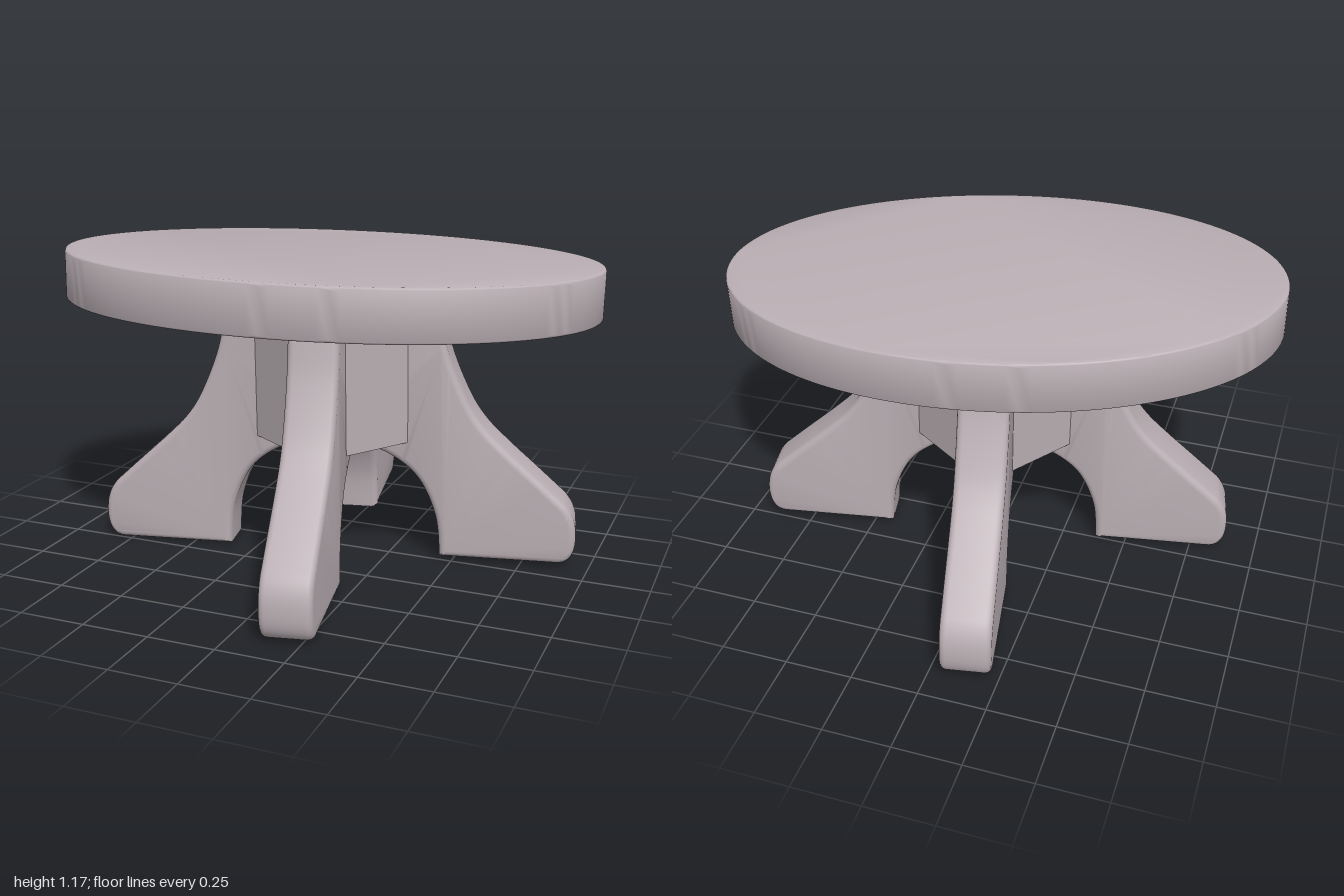
import * as THREE from 'three';
import { toCreasedNormals } from 'three/addons/utils/BufferGeometryUtils.js';

const YAW = 0.19;

// Extrude a shape to an exact overall thickness with softly rounded edges inside its outline.
function roundedSlab(shape, thickness, round, curveSegments) {
  const geometry = new THREE.ExtrudeGeometry(shape, {
    depth: thickness - 2 * round,
    bevelEnabled: true,
    bevelThickness: round,
    bevelSize: round,
    bevelOffset: -round,
    bevelSegments: 4,
    curveSegments,
  });
  geometry.translate(0, 0, -(thickness - 2 * round) / 2);
  return toCreasedNormals(geometry, 0.6);
}

const vectors = (points) => points.map(([x, y]) => new THREE.Vector2(x, y));

// Side outline of one leg: arch underneath, flat foot, rounded toe, sweeping back.
function legShape() {
  const shape = new THREE.Shape();
  shape.moveTo(0, 0.98);
  shape.lineTo(0, 0.47);
  shape.splineThru(vectors([[0.07, 0.462], [0.21, 0.42], [0.325, 0.33], [0.393, 0.18], [0.41, 0.018]]));
  shape.lineTo(0.85, 0.018);
  shape.bezierCurveTo(0.9, 0.018, 0.92, 0.06, 0.92, 0.115);
  shape.bezierCurveTo(0.92, 0.18, 0.905, 0.215, 0.875, 0.25);
  shape.splineThru(vectors([[0.765, 0.35], [0.665, 0.44], [0.575, 0.53], [0.51, 0.63], [0.44, 0.8], [0.4, 0.98]]));
  return shape;
}

export function createModel() {
  const model = new THREE.Group();
  model.name = 'ovalTable';
  const wood = new THREE.MeshStandardMaterial({ color: 0xbaafb4 });
  wood.name = 'paleMauveGrey';

  // Oval top, leaning very slightly
  const top = new THREE.Group();
  top.name = 'tableTop';
  top.position.y = 1.062;
  top.rotation.set(-0.004, 0, -0.018);
  const ellipse = new THREE.Shape();
  ellipse.absellipse(0, 0, 1.011, 0.635, 0, Math.PI * 2);
  const slabGeometry = roundedSlab(ellipse, 0.19, 0.012, 80);
  slabGeometry.rotateX(-Math.PI / 2);
  const slab = new THREE.Mesh(slabGeometry, wood);
  slab.name = 'ovalSlab';
  slab.rotation.y = YAW;
  top.add(slab);
  model.add(top);

  // Pedestal: hub and four legs
  const base = new THREE.Group();
  base.name = 'pedestal';
  base.position.x = 0.035;
  base.rotation.set(0.005, 0, 0.011);
  model.add(base);

  // Square hub, its faces set diagonally between the legs
  const hub = new THREE.Mesh(new THREE.BoxGeometry(0.54, 0.52, 0.54), wood);
  hub.name = 'hub';
  hub.position.y = 0.73;
  hub.rotation.y = YAW + Math.PI / 4;
  base.add(hub);

  const legGeometry = roundedSlab(legShape(), 0.185, 0.025, 10);
  ['leftLeg', 'backLeg', 'rightLeg', 'frontLeg'].forEach((name, i) => {
    const leg = new THREE.Mesh(legGeometry, wood);
    leg.name = name;
    leg.rotation.y = YAW + (i * Math.PI) / 2;
    base.add(leg);
  });

  return model;
}
